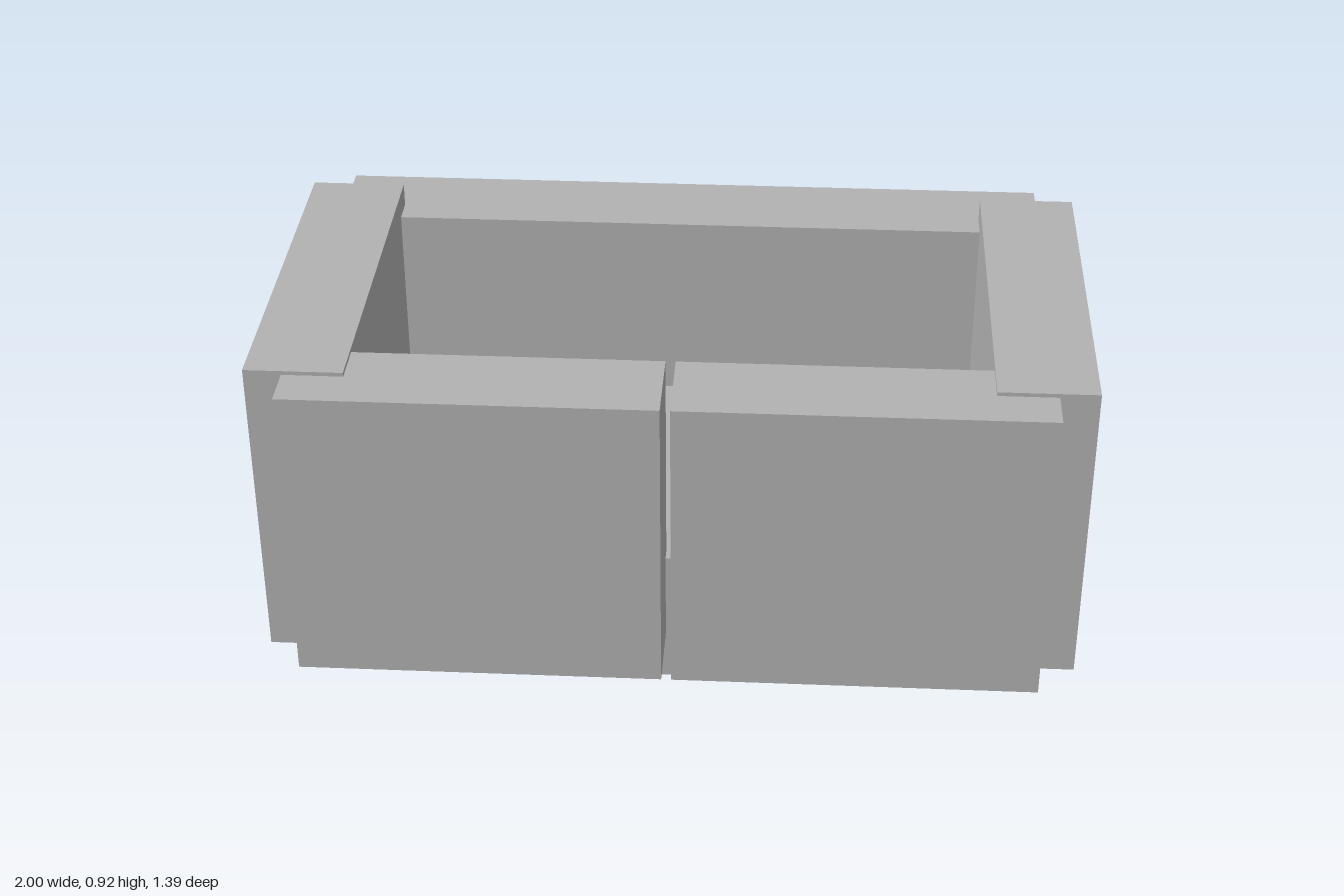
import * as THREE from 'three';

export function createModel() {
  const group = new THREE.Group();
  group.name = 'sofaFrame';
  const grey = new THREE.MeshStandardMaterial({ color: 0xb2b2b2 });
  grey.name = 'grey';

  // Box given by its extents on each axis
  function slab(name, [x0, x1], [y0, y1], [z0, z1]) {
    const mesh = new THREE.Mesh(new THREE.BoxGeometry(x1 - x0, y1 - y0, z1 - z0), grey);
    mesh.position.set((x0 + x1) / 2, (y0 + y1) / 2, (z0 + z1) / 2);
    mesh.name = name;
    group.add(mesh);
  }

  // Base block and backrest
  slab('base', [-0.93, 0.926], [0, 0.362], [-0.694, 0.505]);
  slab('backrest', [-0.92, 0.915], [0.2, 0.862], [-0.535, -0.302]);

  // Armrests
  slab('leftArm', [0.76, 1], [0.123, 0.921], [-0.374, 0.586]);
  slab('rightArm', [-1, -0.762], [0.123, 0.921], [-0.374, 0.586]);

  // Two front panels with a narrow gap
  slab('leftFrontPanel', [0.01, 0.905], [0.133, 0.911], [0.474, 0.694]);
  slab('rightFrontPanel', [-0.909, -0.014], [0.133, 0.911], [0.474, 0.694]);

  return group;
}
